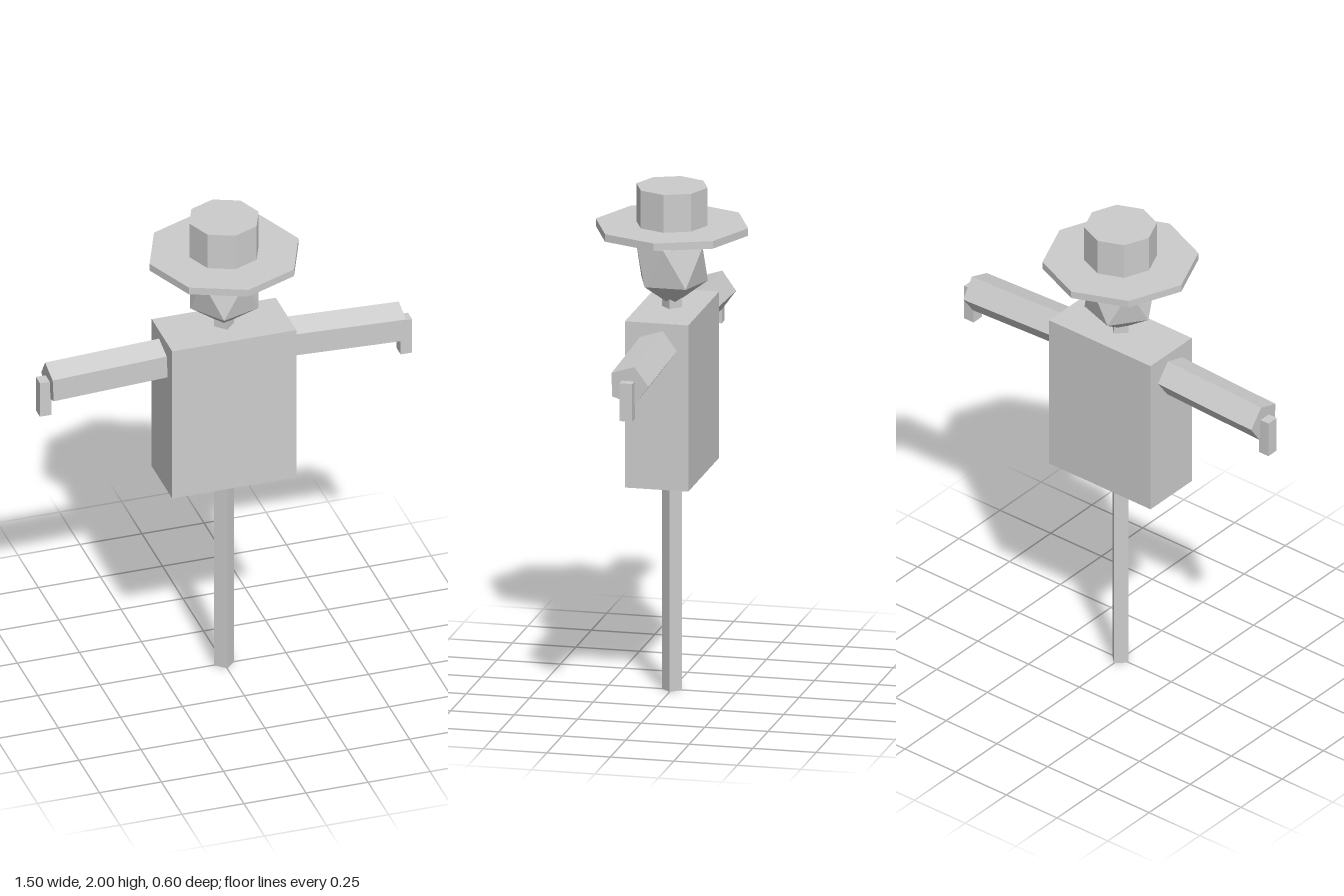
import * as THREE from 'three';
import { ConvexGeometry } from 'three/addons/geometries/ConvexGeometry.js';

export function createModel() {
  const model = new THREE.Group();
  model.name = 'scarecrow';

  const plainGrey = new THREE.MeshStandardMaterial({ color: 0xcccccc, flatShading: true });
  plainGrey.name = 'plainGrey';

  const add = (name, geometry, x, y, z = 0) => {
    const mesh = new THREE.Mesh(geometry, plainGrey);
    mesh.name = name;
    mesh.position.set(x, y, z);
    model.add(mesh);
    return mesh;
  };

  // Upright prism between two heights
  const prism = (name, radius, bottom, top, sides) =>
    add(name, new THREE.CylinderGeometry(radius, radius, top - bottom, sides), 0, (bottom + top) / 2);

  // Square pole, set corner-forward, ending in the head
  prism('pole', 0.04, 0, 1.57, 4);

  // Torso
  add('torso', new THREE.BoxGeometry(0.5, 0.66, 0.25), 0, 1.19);

  // Head: stretched icosahedron standing on a point
  const headRadius = 0.154, headHalf = 0.173;
  const points = [new THREE.Vector3(0, headHalf, 0), new THREE.Vector3(0, -headHalf, 0)];
  const ring = headRadius * 2 / Math.sqrt(5);
  for (let i = 0; i < 5; i++) {
    const a = i * Math.PI * 2 / 5;
    const x = ring * Math.cos(a), z = ring * Math.sin(a), y = headHalf / Math.sqrt(5);
    points.push(new THREE.Vector3(x, y, z), new THREE.Vector3(-x, -y, z));
  }
  add('head', new ConvexGeometry(points), 0, 1.698);

  // Hat
  prism('hatBrim', 0.3, 1.82, 1.85, 8);
  prism('hatCrown', 0.14, 1.85, 2, 8);

  // Five-sided sleeves, drooping slightly, with a hand hanging at each end
  for (const [side, sign] of [['left', 1], ['right', -1]]) {
    const sleeve = new THREE.CylinderGeometry(0.08, 0.08, 0.46, 5, 1, false, Math.PI);
    sleeve.rotateZ(Math.PI / 2);
    add(side + 'Arm', sleeve, sign * 0.48, 1.406).rotation.z = -sign * 0.042;
    add(side + 'Hand', new THREE.BoxGeometry(0.046, 0.15, 0.05), sign * 0.727, 1.34);
  }

  return model;
}
